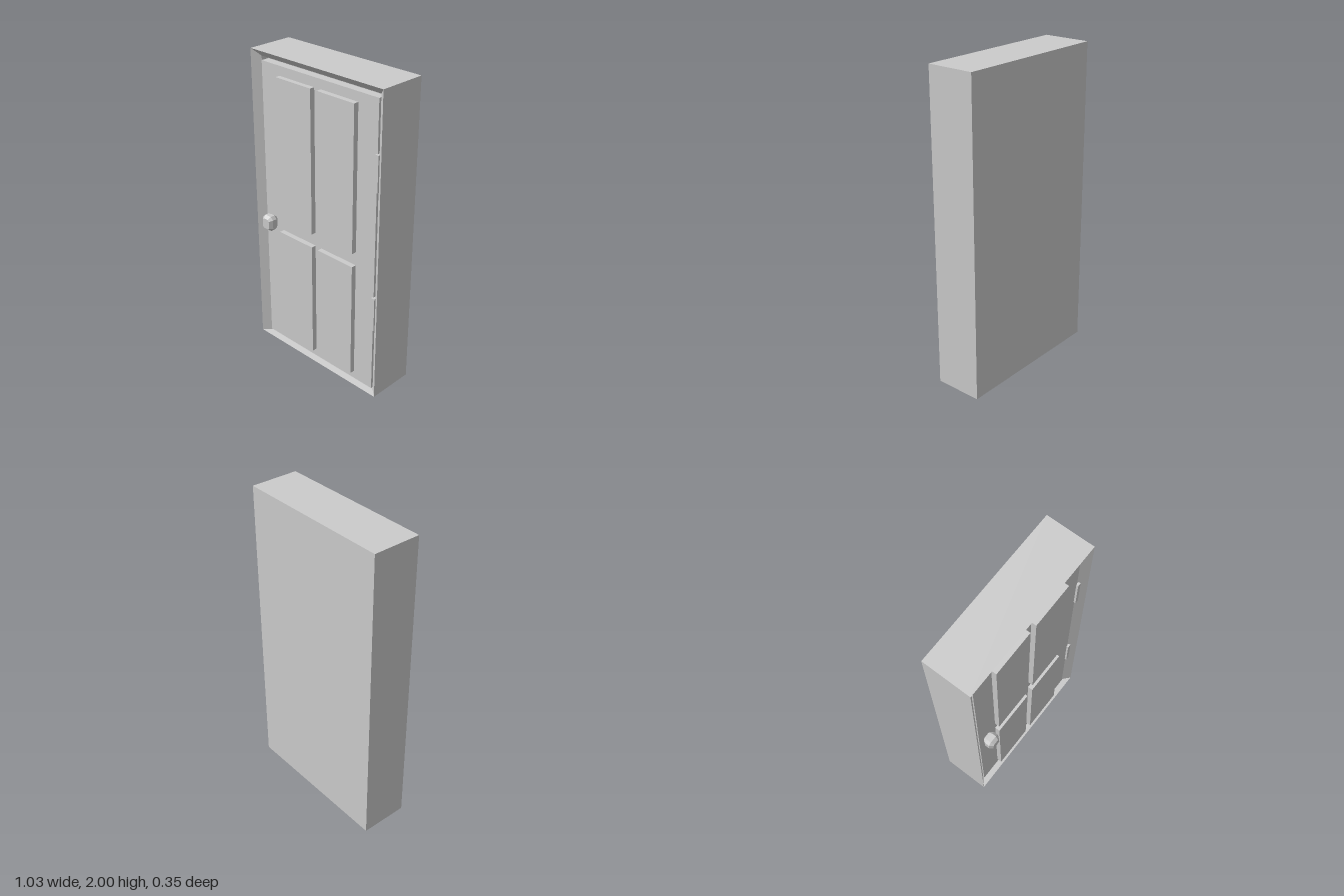
import * as THREE from 'three';

const grey = new THREE.MeshStandardMaterial({ color: 0xcccccc, flatShading: true });

// Box given by its extents on each axis
function block(name, [x0, x1], [y0, y1], [z0, z1]) {
  const mesh = new THREE.Mesh(new THREE.BoxGeometry(x1 - x0, y1 - y0, z1 - z0), grey);
  mesh.position.set((x0 + x1) / 2, (y0 + y1) / 2, (z0 + z1) / 2);
  mesh.name = name;
  return mesh;
}

// Skin through rectangular sections [halfWidth, bottom, top, z], capped at both ends
function rectLoft(sections) {
  const pos = [];
  const index = [];
  sections.forEach(([w, b, t, z]) => pos.push(-w, b, z, w, b, z, w, t, z, -w, t, z));
  for (let s = 0; s < sections.length - 1; s++) {
    for (let i = 0; i < 4; i++) {
      const a = s * 4 + i, b = s * 4 + (i + 1) % 4;
      index.push(a, b, b + 4, a, b + 4, a + 4);
    }
  }
  const e = (sections.length - 1) * 4;
  index.push(0, 2, 1, 0, 3, 2, e, e + 1, e + 2, e, e + 2, e + 3);
  const geo = new THREE.BufferGeometry();
  geo.setAttribute('position', new THREE.Float32BufferAttribute(pos, 3));
  geo.setIndex(index);
  const flat = geo.toNonIndexed();
  flat.computeVertexNormals();
  return flat;
}

// Rectangle with cut corners
function cutRect(w, h, c) {
  const x = w / 2, y = h / 2;
  return new THREE.Shape([
    [-x + c, -y], [x - c, -y], [x, -y + c], [x, y - c],
    [x - c, y], [-x + c, y], [-x, y - c], [-x, -y + c],
  ].map(([px, py]) => new THREE.Vector2(px, py)));
}

export function createModel() {
  const door = new THREE.Group();
  door.name = 'door';

  // Solid frame: closed back, splayed front edge, recess for the leaf
  const frame = new THREE.Mesh(rectLoft([
    [0.515, 0, 2, -0.174],
    [0.515, 0, 2, 0.134],
    [0.466, 0.005, 1.955, 0.092],
    [0.466, 0.005, 1.955, 0.045],
  ]), grey);
  frame.name = 'frame';
  door.add(frame);

  // Door leaf
  const leafFront = 0.097;
  door.add(block('leaf', [-0.462, 0.457], [0.015, 1.93], [0.04, leafFront]));

  // Four raised panels
  for (const [row, ys] of [['lower', [0.07, 0.85]], ['upper', [0.94, 1.87]]]) {
    door.add(block(row + 'RightPanel', [-0.31, -0.025], ys, [leafFront - 0.01, 0.13]));
    door.add(block(row + 'LeftPanel', [0.025, 0.31], ys, [leafFront - 0.01, 0.13]));
  }

  // Hinges
  for (const [name, y] of [['lowerHinge', 0.577], ['upperHinge', 1.497]]) {
    door.add(block(name, [0.45, 0.474], [y - 0.113, y + 0.113], [0.07, 0.11]));
  }

  // Faceted knob, bevelled front and back
  const bevel = 0.016;
  const knobGeo = new THREE.ExtrudeGeometry(cutRect(0.056, 0.068, 0.01), {
    depth: 0.03, bevelEnabled: true, bevelSize: bevel, bevelThickness: 0.022, bevelSegments: 1,
  });
  const knob = new THREE.Mesh(knobGeo, grey);
  knob.position.set(-0.395, 0.891, 0.121);
  knob.name = 'knob';
  door.add(knob);

  return door;
}
